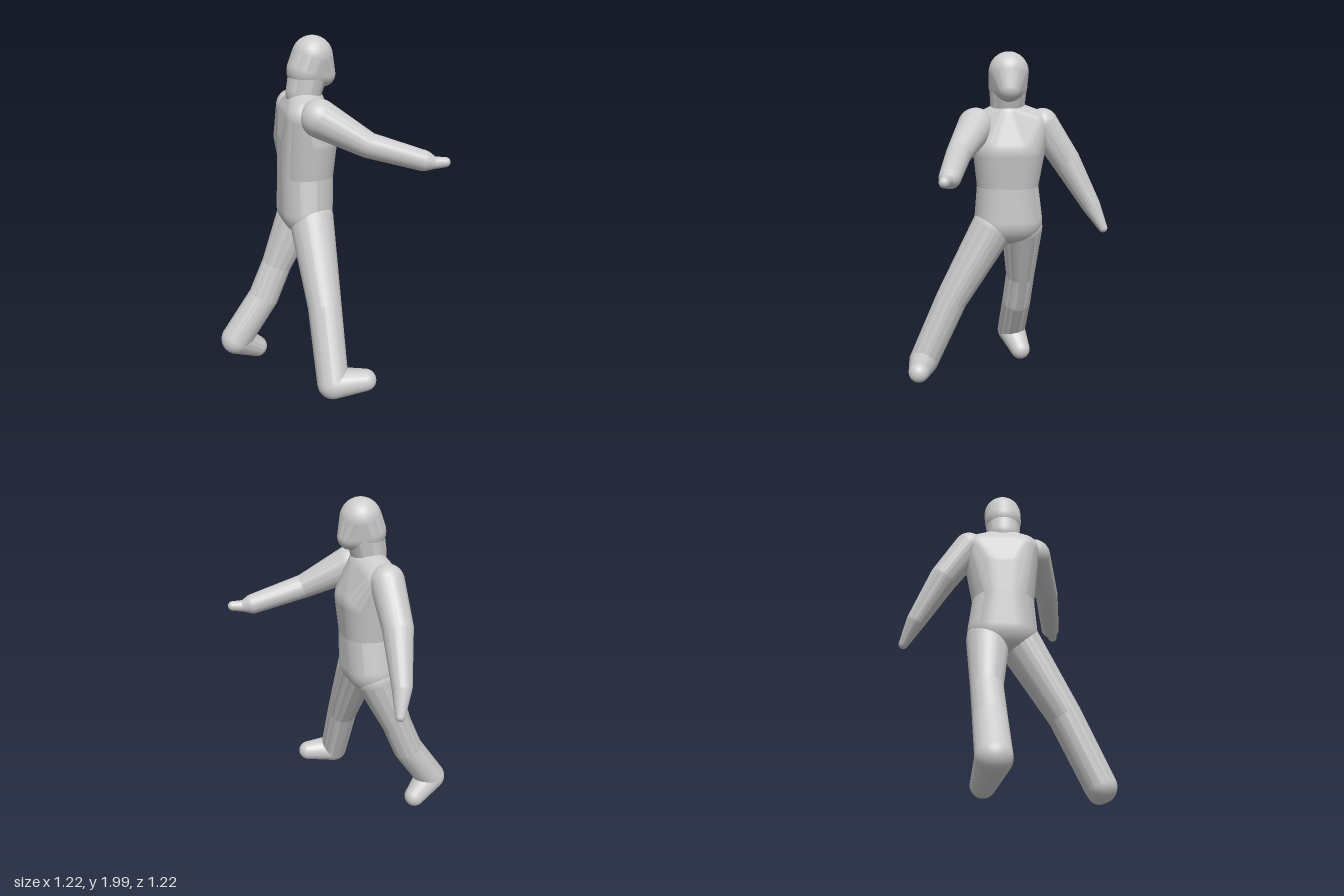
import * as THREE from 'three';
import { ConvexGeometry } from 'three/addons/geometries/ConvexGeometry.js';

const material = new THREE.MeshStandardMaterial({ color: 0xcccccc });

// Smooth skin stretched over a few balls, each given as [x, y, z, radius].
function hull(balls) {
  const points = [];
  for (const [x, y, z, r] of balls) {
    const pos = new THREE.SphereGeometry(r, 30, 20).attributes.position;
    for (let i = 0; i < pos.count; i++) {
      points.push(new THREE.Vector3(x, y, z).add(new THREE.Vector3().fromBufferAttribute(pos, i)));
    }
  }
  const geometry = new ConvexGeometry(points);
  // Every corner lies on one of the balls, so its normal points away from that ball's centre.
  const { position, normal } = geometry.attributes;
  const p = new THREE.Vector3(), d = new THREE.Vector3();
  for (let i = 0; i < position.count; i++) {
    p.fromBufferAttribute(position, i);
    let best = Infinity;
    for (const [x, y, z, r] of balls) {
      d.set(p.x - x, p.y - y, p.z - z);
      const error = Math.abs(d.length() - r);
      if (error < best) {
        best = error;
        d.normalize();
        normal.setXYZ(i, d.x, d.y, d.z);
      }
    }
  }
  return geometry;
}

export function createModel() {
  const model = new THREE.Group();
  model.name = 'stridingFigure';

  const addHull = (name, balls, parent = model) => {
    const mesh = new THREE.Mesh(hull(balls), material);
    mesh.name = name;
    parent.add(mesh);
  };

  // A limb is a chain of tapered segments, one between each pair of joints.
  const addLimb = (name, segments, joints) => {
    const limb = new THREE.Group();
    limb.name = name;
    segments.forEach((segment, i) => addHull(segment, [joints[i], joints[i + 1]], limb));
    model.add(limb);
  };

  // Head, with the chin towards +x
  addHull('head', [
    [-0.05, 1.885, -0.01, 0.115],
    [-0.08, 1.81, -0.01, 0.113],
    [0.01, 1.79, -0.005, 0.07],
  ]);
  addHull('neck', [[-0.07, 1.82, -0.01, 0.11], [-0.1, 1.69, -0.01, 0.1]]);

  // Torso
  const waist = [[-0.095, 1.23, 0.02, 0.153], [-0.095, 1.23, -0.04, 0.153]];
  addHull('chest', [
    [-0.09, 1.62, -0.01, 0.11],
    [-0.13, 1.57, 0.1, 0.105],
    [-0.1, 1.57, -0.15, 0.11],
    [-0.085, 1.43, 0.035, 0.16],
    [-0.08, 1.43, -0.06, 0.16],
    ...waist,
  ]);
  addHull('pelvis', [...waist, [-0.1, 1.02, 0.04, 0.15], [-0.1, 1.02, -0.07, 0.15]]);

  // Arm reaching forward
  addLimb('forwardArm', ['upperArm', 'forearm', 'wrist', 'hand'], [
    [-0.07, 1.58, 0.18, 0.105],
    [0.17, 1.443, 0.3, 0.07],
    [0.465, 1.352, 0.37, 0.058],
    [0.515, 1.34, 0.388, 0.035],
    [0.58, 1.343, 0.406, 0.028],
  ]);

  // Arm trailing behind
  addLimb('trailingArm', ['upperArm', 'forearm', 'hand'], [
    [-0.11, 1.585, -0.22, 0.095],
    [-0.105, 1.37, -0.365, 0.085],
    [-0.06, 1.1, -0.515, 0.056],
    [-0.018, 0.965, -0.582, 0.027],
  ]);

  // Standing leg, splayed to +z
  addLimb('standingLeg', ['thigh', 'shin', 'foot'], [
    [-0.085, 0.98, 0.08, 0.128],
    [-0.085, 0.54, 0.335, 0.096],
    [-0.092, 0.15, 0.512, 0.089],
    [0.088, 0.155, 0.545, 0.062],
  ]);

  // Leg pushing off behind
  addLimb('trailingLeg', ['thigh', 'knee', 'shin', 'foot'], [
    [-0.11, 0.97, -0.1, 0.125],
    [-0.25, 0.635, -0.115, 0.09],
    [-0.34, 0.43, -0.105, 0.092],
    [-0.52, 0.17, -0.1, 0.093],
    [-0.385, 0.072, -0.14, 0.064],
  ]);

  return model;
}
